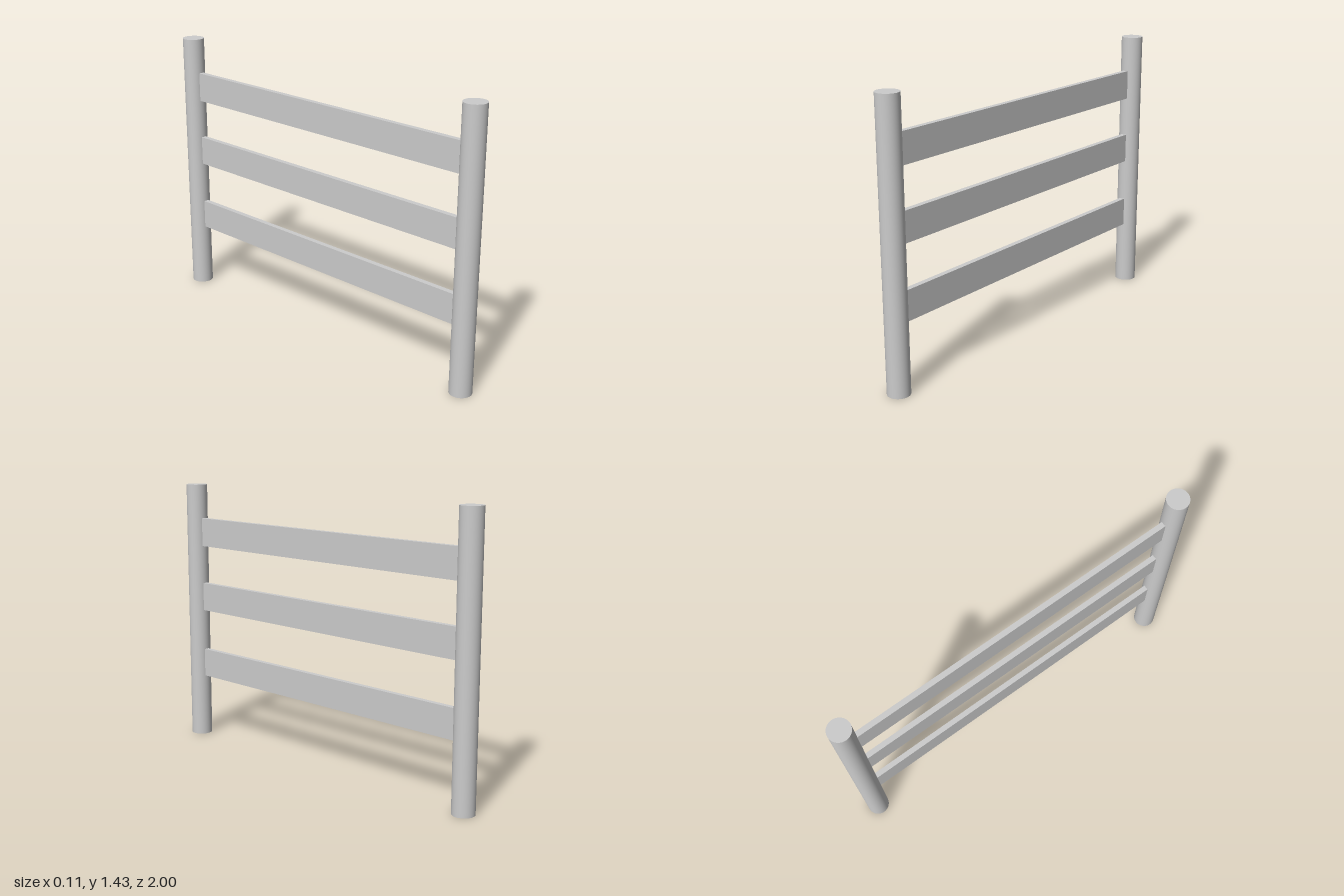
import * as THREE from 'three';

const POST_RADIUS = 0.057;
const POST_HEIGHT = 1.43;
const POST_Z = 1 - POST_RADIUS;
const RAIL_HEIGHT = 0.155;
const RAIL_THICKNESS = 0.028;

export function createModel() {
  const group = new THREE.Group();
  group.name = 'fencePanel';
  const material = new THREE.MeshStandardMaterial({ color: 0xcccccc });

  const add = (name, geometry, y, z) => {
    const mesh = new THREE.Mesh(geometry, material);
    mesh.name = name;
    mesh.position.set(0, y, z);
    group.add(mesh);
  };

  // Round posts at both ends
  const post = new THREE.CylinderGeometry(POST_RADIUS, POST_RADIUS, POST_HEIGHT, 48);
  add('frontPost', post, POST_HEIGHT / 2, POST_Z);
  add('backPost', post, POST_HEIGHT / 2, -POST_Z);

  // Flat rails, ends set just into the posts
  const railLength = 2 * (POST_Z - POST_RADIUS) + 0.008;
  const rail = new THREE.BoxGeometry(RAIL_THICKNESS, RAIL_HEIGHT, railLength);
  const railHeights = { lowerRail: 0.423, middleRail: 0.803, upperRail: 1.167 };
  for (const [name, y] of Object.entries(railHeights)) add(name, rail, y, 0);

  return group;
}
